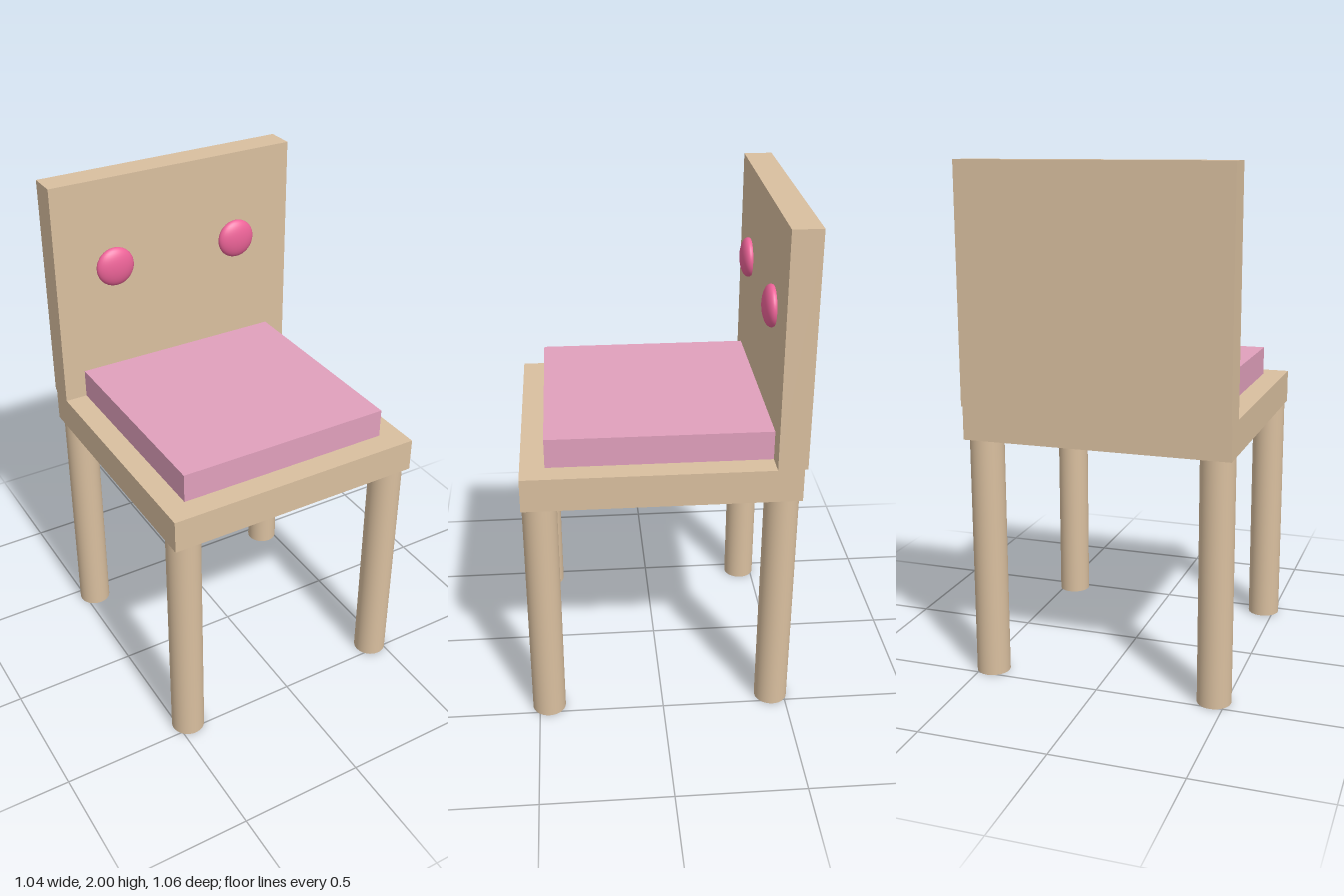
import * as THREE from 'three';

export function createModel() {
  const chair = new THREE.Group();
  chair.name = 'chair';
  const wood = new THREE.MeshStandardMaterial({ color: 0xd9bf9f });
  const fabric = new THREE.MeshStandardMaterial({ color: 0xe0a0bc });
  const buttonPink = new THREE.MeshStandardMaterial({ color: 0xee6499 });

  function add(name, geometry, material, x, y, z) {
    const mesh = new THREE.Mesh(geometry, material);
    mesh.name = name;
    mesh.position.set(x, y, z);
    chair.add(mesh);
    return mesh;
  }

  // Box given by its width and its extents in y and z, centred on x = 0
  function slab(name, material, width, y0, y1, z0, z1) {
    const geometry = new THREE.BoxGeometry(width, y1 - y0, z1 - z0);
    return add(name, geometry, material, 0, (y0 + y1) / 2, (z0 + z1) / 2);
  }

  // Seat, backrest (overhanging the seat slightly at the rear) and cushion
  slab('seat', wood, 1.042, 0.96, 1.092, -0.515, 0.529);
  slab('backrest', wood, 1.042, 1.092, 2, -0.527, -0.415);
  slab('cushion', fabric, 0.864, 1.092, 1.207, -0.415, 0.436);

  // Round legs and flattened backrest buttons, mirrored left and right
  const legGeometry = new THREE.CylinderGeometry(0.066, 0.066, 0.962, 32);
  const buttonGeometry = new THREE.SphereGeometry(0.079, 32, 20).scale(1, 1, 0.42);
  for (const [side, s] of [['left', 1], ['right', -1]]) {
    add(side + 'FrontLeg', legGeometry, wood, s * 0.455, 0.481, 0.462);
    add(side + 'BackLeg', legGeometry, wood, s * 0.455, 0.481, -0.447);
    add(side + 'Button', buttonGeometry, buttonPink, s * 0.273, 1.64, -0.405);
  }
  return chair;
}
